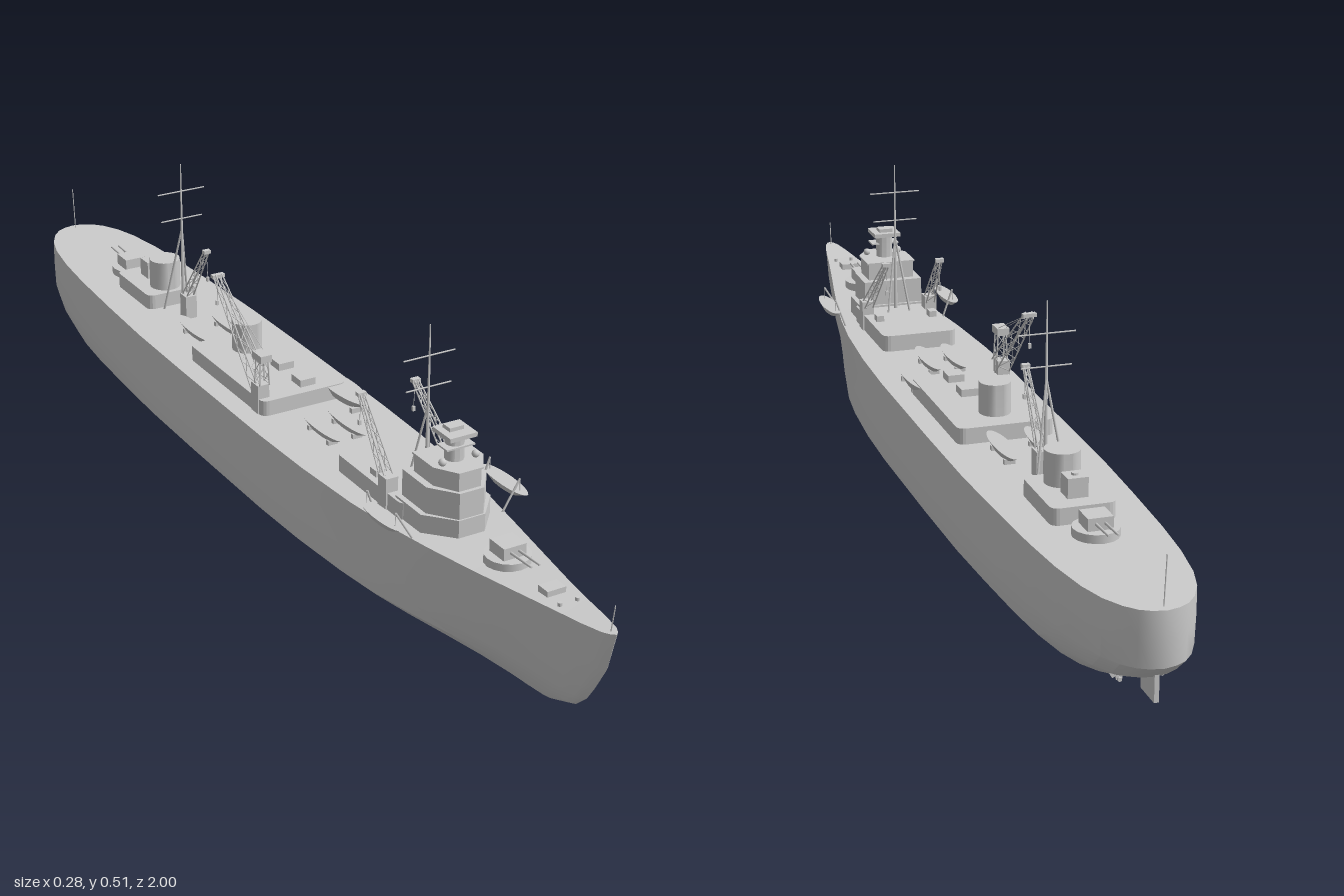
import * as THREE from 'three';
import { toCreasedNormals } from 'three/addons/utils/BufferGeometryUtils.js';

const DECK = 0.178;
const V = (x, y, z) => new THREE.Vector3(x, y, z);
const mat = new THREE.MeshStandardMaterial({ color: 0xcccccc });

function add(parent, name, geo, x = 0, y = 0, z = 0) {
  const m = new THREE.Mesh(geo, mat);
  m.name = name;
  m.position.set(x, y, z);
  parent.add(m);
  return m;
}
function group(parent, name) {
  const g = new THREE.Group();
  g.name = name;
  parent.add(g);
  return g;
}
// y is the underside of boxes and drums
const box = (p, name, x, y, z, w, h, d) => add(p, name, new THREE.BoxGeometry(w, h, d), x, y + h / 2, z);
const drum = (p, name, x, y, z, r, h, n = 24) =>
  add(p, name, toCreasedNormals(new THREE.CylinderGeometry(r, r, h, n), 0.6), x, y + h / 2, z);
function rod(p, name, a, b, r = 0.0015, r2 = r) {
  const d = b.clone().sub(a);
  const m = add(p, name, new THREE.CylinderGeometry(r2, r, d.length(), 6));
  m.position.copy(a).addScaledVector(d, 0.5);
  m.quaternion.setFromUnitVectors(V(0, 1, 0), d.normalize());
  return m;
}
// Upright prism from a plan outline of [x, z] corners
function prism(p, name, pts, y, h) {
  const s = new THREE.Shape(pts.map(([x, z]) => new THREE.Vector2(x, -z)));
  const g = new THREE.ExtrudeGeometry(s, { depth: h, bevelEnabled: false }).rotateX(-Math.PI / 2);
  return add(p, name, g, 0, y, 0);
}
// Deckhouse with rounded corners in plan
function house(p, name, w, z0, z1, y, h, r = 0.014) {
  const pts = [];
  [[1, 1], [-1, 1], [-1, -1], [1, -1]].forEach(([sx, sz], k) => {
    for (let i = 0; i <= 4; i++) {
      const a = (k + i / 4) * Math.PI / 2;
      pts.push([sx * (w - r) + r * Math.cos(a), (sz > 0 ? z1 - r : z0 + r) + r * Math.sin(a)]);
    }
  });
  return prism(p, name, pts, y, h);
}

// Half width of the deck along the length: [z, half width]
const PLAN = [[-1, 0], [-0.995, 0.022], [-0.985, 0.04], [-0.965, 0.058], [-0.93, 0.077], [-0.88, 0.092], [-0.8, 0.105],
  [-0.7, 0.114], [-0.55, 0.122], [-0.4, 0.128], [-0.2, 0.13], [0.1, 0.13], [0.25, 0.126], [0.4, 0.116], [0.5, 0.104],
  [0.6, 0.087], [0.7, 0.068], [0.8, 0.048], [0.88, 0.033], [0.94, 0.023], [0.98, 0.014], [0.994, 0.007], [1, 0]];
// Hull levels: [height, width factor, bow z, stern z]
const LEVELS = [[DECK, 1, 1, -1], [0.13, 1, 0.982, -1], [0.08, 1, 0.955, -0.995], [0.05, 1, 0.936, -0.96],
  [0.025, 0.98, 0.91, -0.9], [0, 0.77, 0.85, -0.83]];
const sheer = z => DECK + 0.025 * Math.max(0, (z - 0.4) / 0.6) ** 2;

function hull(p) {
  const pos = [], idx = [], n = LEVELS.length * 2;
  for (const [t, w] of PLAN) {
    const half = LEVELS.map(([y, f, zb, zs], k) => {
      const z = zs + (zb - zs) * (t + 1) / 2;
      const fine = 1 - 0.35 * (1 - y / DECK) * THREE.MathUtils.smoothstep(t, 0.5, 1);
      return [w * f * fine, k ? y : sheer(z), z];
    });
    for (const q of half) pos.push(...q);
    for (const [x, y, z] of half.reverse()) pos.push(-x, y, z);
  }
  for (let i = 0; i < PLAN.length - 1; i++) {
    for (let j = 0; j < n; j++) {
      const a = i * n + j, c = i * n + (j + 1) % n;
      idx.push(a, a + n, c, a + n, c + n, c);
    }
  }
  const g = new THREE.BufferGeometry();
  g.setAttribute('position', new THREE.Float32BufferAttribute(pos, 3));
  g.setIndex(idx);
  add(p, 'hull', toCreasedNormals(g, 0.5));
}

function boat(p, x, y, z, hw, hl, h = 0.014) {
  const g = toCreasedNormals(new THREE.CylinderGeometry(1, 0.6, 1, 24), 0.6).scale(hw, h, hl);
  add(p, 'boat', g, x, y + h / 2, z);
}

// Lattice beam tapering from half width w0 to w1
function lattice(p, name, a, b, w0, w1, bays = 6) {
  const g = group(p, name), d = b.clone().sub(a).normalize();
  const u = Math.abs(d.x) > 0.9 ? V(0, 0, 1) : V(1, 0, 0);
  const s = u.addScaledVector(d, -u.dot(d)).normalize(), n = d.clone().cross(s);
  const at = (t, k) => {
    const w = w0 + (w1 - w0) * t;
    return a.clone().lerp(b, t).addScaledVector(s, k % 4 < 2 ? w : -w).addScaledVector(n, (k + 1) % 4 < 2 ? w : -w);
  };
  for (let k = 0; k < 4; k++) {
    rod(g, 'chord', at(0, k), at(1, k), 0.0014);
    for (let i = 0; i < bays; i++) {
      rod(g, 'brace', at(i / bays, k + i % 2), at((i + 1) / bays, k + (i + 1) % 2), 0.0008);
    }
  }
}

function crane(p, base, foot, tip, w) {
  const g = group(p, 'crane');
  box(g, 'craneBase', base.x, DECK, base.z, 0.024, base.y - DECK, 0.026);
  lattice(g, 'boom', foot, tip, w, w * 0.45, 8);
  box(g, 'boomHead', tip.x, tip.y - 0.003, tip.z, w * 1.8, 0.007, 0.01);
  const hook = tip.clone().add(V(0, -0.055, Math.sign(tip.z - foot.z) * 0.004));
  rod(g, 'hoistWire', tip, hook, 0.0006);
  box(g, 'hook', hook.x, hook.y - 0.006, hook.z, 0.005, 0.009, 0.005);
  return g;
}

function mast(p, z, top, legZ) {
  const g = group(p, 'mast');
  rod(g, 'pole', V(0, DECK, z), V(0, top, z), 0.004, 0.0012);
  for (const s of [-1, 1]) rod(g, 'mastLeg', V(0, 0.36, z), V(s * 0.027, DECK, z + legZ), 0.0022);
  rod(g, 'lowerYard', V(-0.045, top - 0.115, z), V(0.045, top - 0.115, z), 0.0014);
  rod(g, 'upperYard', V(-0.051, top - 0.057, z), V(0.051, top - 0.057, z), 0.0014);
}

function gun(p, z, dir) {
  const g = group(p, 'gunMount'), y = sheer(z) - 0.003;
  drum(g, 'gunPlatform', 0, y, z, 0.04, 0.018, 16);
  box(g, 'gunHouse', 0, y + 0.018, z, 0.044, 0.022, 0.042);
  for (const s of [-1, 1]) {
    rod(g, 'gunBarrel', V(s * 0.008, y + 0.029, z), V(s * 0.008, y + 0.032, z + dir * 0.078), 0.0028, 0.002);
  }
}

export function createModel() {
  const ship = new THREE.Group();
  ship.name = 'ship';
  hull(ship);

  // Rudder and screws
  box(ship, 'rudder', 0, 0.01, -0.94, 0.008, 0.065, 0.055);
  for (const s of [-1, 1]) {
    rod(ship, 'propellerShaft', V(s * 0.035, 0.028, -0.82), V(s * 0.035, 0.024, -0.905), 0.004);
    for (let k = 0; k < 3; k++) {
      box(ship, 'propellerBlade', s * 0.035, 0.023, -0.9, 0.01, 0.032, 0.003).rotation.z = k * Math.PI / 3;
    }
  }

  // Foredeck fittings
  box(ship, 'windlass', 0, 0.186, 0.83, 0.036, 0.016, 0.026);
  for (const s of [-1, 1]) drum(ship, 'bollard', s * 0.017, 0.188, 0.875, 0.004, 0.012, 10);
  rod(ship, 'jackstaff', V(0, 0.2, 0.985), V(0, 0.25, 0.992), 0.001);
  rod(ship, 'flagstaff', V(0, DECK, -0.985), V(0, 0.265, -0.992), 0.001);
  gun(ship, 0.705, 1);
  gun(ship, -0.7, -1);

  // Bridge: stacked tiers with an angled front
  house(ship, 'foreDeckhouse', 0.075, 0.28, 0.5, DECK - 0.002, 0.034);
  const bridge = group(ship, 'bridge');
  const tier = (w, f, z0, z1, z2, y, h) =>
    prism(bridge, 'bridgeTier', [[w, z0], [w, z1], [f, z2], [-f, z2], [-w, z1], [-w, z0]].reverse(), y, h);
  tier(0.07, 0.026, 0.47, 0.55, 0.6, DECK, 0.036);
  tier(0.06, 0.024, 0.475, 0.55, 0.597, 0.214, 0.049);
  tier(0.047, 0.022, 0.49, 0.55, 0.59, 0.263, 0.035);
  tier(0.05, 0.024, 0.488, 0.553, 0.593, 0.296, 0.003);
  drum(bridge, 'directorTower', 0, 0.298, 0.54, 0.017, 0.046, 12);
  box(bridge, 'lowerWing', 0, 0.325, 0.545, 0.056, 0.003, 0.03);
  box(bridge, 'directorPlatform', 0, 0.344, 0.54, 0.054, 0.008, 0.055);
  box(bridge, 'rangefinder', 0, 0.35, 0.535, 0.028, 0.009, 0.022);
  for (const s of [-1, 1]) {
    add(bridge, 'searchlight', new THREE.SphereGeometry(0.007, 12, 8), s * 0.033, 0.305, 0.555);
  }
  mast(ship, 0.457, 0.51, -0.03);
  mast(ship, -0.458, 0.497, -0.033);

  // Cranes
  for (const s of [-1, 1]) {
    crane(ship, V(s * 0.066, 0.237, 0.44), V(s * 0.066, 0.218, 0.445), V(s * 0.055, 0.341, 0.33), 0.009);
    box(ship, 'winch', s * 0.055, 0.205, 0.385, 0.015, 0.017, 0.02);
  }
  crane(ship, V(0, 0.226, -0.435), V(0, 0.212, -0.445), V(0, 0.348, -0.352), 0.008);
  const mid = crane(ship, V(-0.08, 0.235, 0.012), V(-0.075, 0.226, 0.005), V(-0.069, 0.378, -0.172), 0.014);
  lattice(mid, 'craneTower', V(-0.079, 0.235, 0.018), V(-0.079, 0.286, 0.018), 0.01, 0.008, 2);
  box(mid, 'craneCab', -0.079, 0.284, 0.018, 0.023, 0.014, 0.034);
  for (const s of [-1, 1]) {
    rod(mid, 'toppingWire', V(-0.079 + s * 0.008, 0.297, 0.01), V(-0.069, 0.38, -0.172), 0.0006);
  }

  // Midship house with funnel and hatches
  house(ship, 'midDeckhouse', 0.09, -0.255, 0.04, DECK - 0.002, 0.032);
  drum(ship, 'funnel', 0, 0.205, -0.187, 0.029, 0.062);
  for (const z of [-0.08, 0.002]) box(ship, 'hatch', 0.018, 0.207, z, 0.032, 0.015, 0.034);

  // Aft house with second funnel
  house(ship, 'aftDeckhouse', 0.057, -0.65, -0.5, DECK - 0.002, 0.032);
  drum(ship, 'aftFunnel', 0, 0.205, -0.54, 0.031, 0.062);
  box(ship, 'aftHatch', 0, 0.207, -0.6, 0.036, 0.036, 0.034);
  drum(ship, 'aftVent', 0, 0.242, -0.6, 0.006, 0.005, 12);

  // Boats on deck
  for (const [x, z] of [[-0.033, 0.16], [0.019, 0.16], [-0.037, -0.33], [0.033, -0.33]]) {
    boat(ship, x, 0.186, z, 0.017, 0.075);
    for (const s of [-1, 1]) box(ship, 'boatChock', x, DECK - 0.002, z + s * 0.035, 0.02, 0.011, 0.008);
  }
  boat(ship, 0.075, 0.186, 0.05, 0.027, 0.09, 0.02);
  for (const s of [-1, 1]) box(ship, 'boatChock', 0.075, DECK - 0.002, 0.07 + s * 0.035, 0.03, 0.012, 0.008);

  // Boats slung over the sides on davits
  for (const s of [-1, 1]) {
    boat(ship, s * 0.125, 0.199, 0.513, 0.016, 0.066, 0.013);
    for (const z of [0.467, 0.558]) {
      rod(ship, 'davit', V(s * (z > 0.5 ? 0.09 : 0.104), DECK, z), V(s * 0.124, 0.235, z), 0.002);
      rod(ship, 'fall', V(s * 0.124, 0.235, z), V(s * 0.125, 0.21, z), 0.0006);
    }
  }
  return ship;
}
